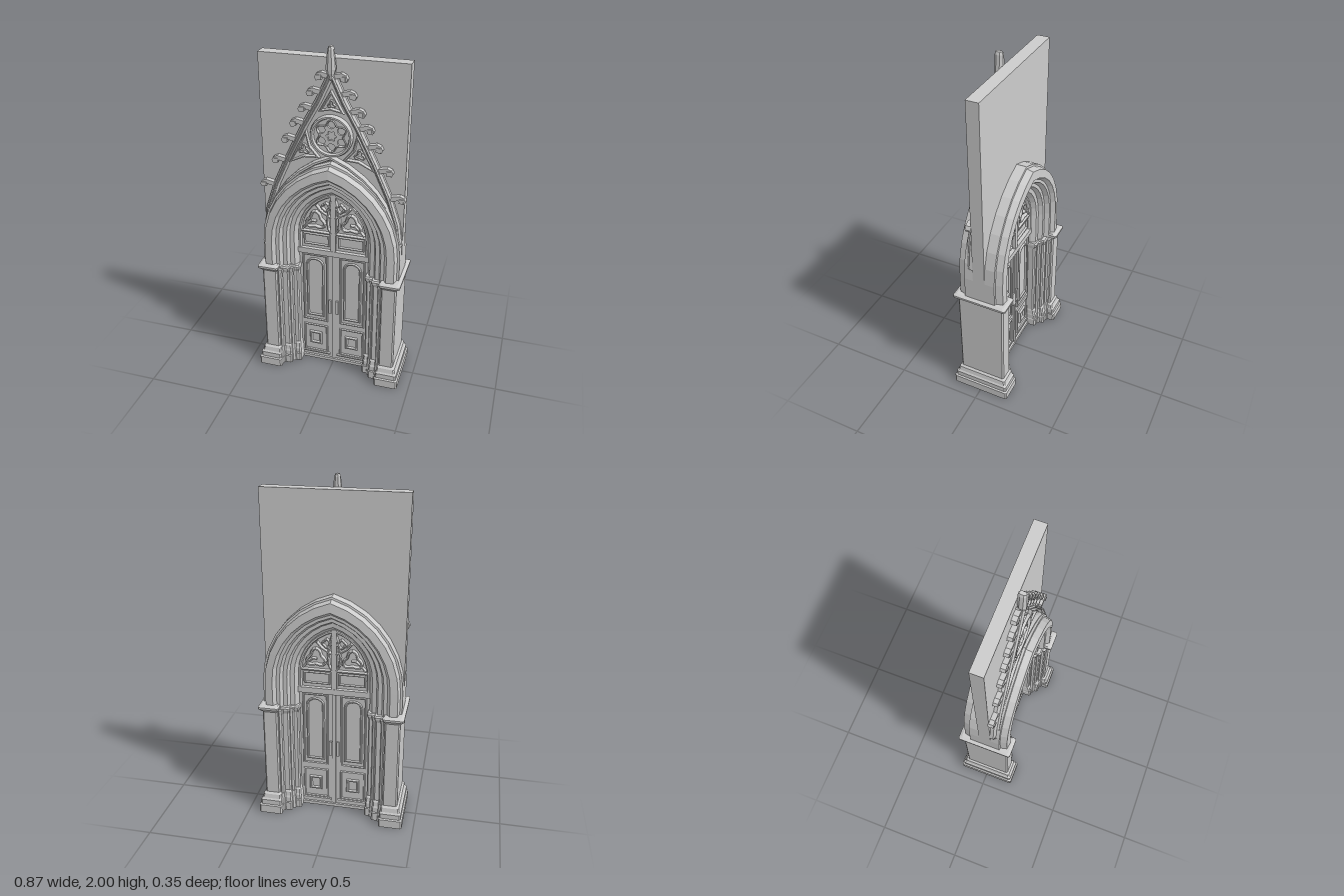
import * as THREE from 'three';

const mat = new THREE.MeshStandardMaterial({ color: 0xcccccc, flatShading: true, side: THREE.DoubleSide });

function add(parent, geo, name) {
  const m = new THREE.Mesh(geo, mat);
  m.name = name;
  parent.add(m);
  return m;
}

function box(parent, name, x0, x1, y0, y1, z0, z1) {
  const g = new THREE.BoxGeometry(x1 - x0, y1 - y0, z1 - z0);
  return add(parent, g.translate((x0 + x1) / 2, (y0 + y1) / 2, (z0 + z1) / 2), name);
}

// Skin a list of equal-length rings of [x, y, z]; end caps unless the loop closes
function loft(rings, closed = false) {
  const pos = [], m = rings[0].length, n = rings.length;
  for (let i = 0; i < (closed ? n : n - 1); i++) {
    const a = rings[i], b = rings[(i + 1) % n];
    for (let k = 0; k < m; k++) {
      const l = (k + 1) % m;
      pos.push(...a[k], ...b[k], ...b[l], ...a[k], ...b[l], ...a[l]);
    }
  }
  if (!closed) [rings[0], rings[n - 1]].forEach((r, e) => {
    const c = [0, 1, 2].map(d => r.reduce((s, p) => s + p[d], 0) / m);
    r.forEach((p, k) => {
      const q = r[(k + 1) % m];
      pos.push(...c, ...(e ? q : p), ...(e ? p : q));
      if (e) { const t = pos.splice(-6); pos.push(...t.slice(3), ...t.slice(0, 3)); }
      const t = pos.splice(-6); pos.push(...(e ? t : [...t.slice(0, 3), ...t.slice(3)]));
    });
  });
  // turn the surface outward if its signed volume is negative
  let vol = 0;
  const A = new THREE.Vector3(), B = new THREE.Vector3(), C = new THREE.Vector3();
  for (let i = 0; i < pos.length; i += 9) {
    vol += A.fromArray(pos, i).dot(B.fromArray(pos, i + 3).cross(C.fromArray(pos, i + 6)));
  }
  if (vol < 0) for (let i = 0; i < pos.length; i += 9) {
    const t = pos.slice(i, i + 3);
    for (let d = 0; d < 3; d++) { pos[i + d] = pos[i + 3 + d]; pos[i + 3 + d] = t[d]; }
  }
  const g = new THREE.BufferGeometry();
  g.setAttribute('position', new THREE.Float32BufferAttribute(pos, 3));
  g.computeVertexNormals();
  return g;
}

// Moulded rib of width w following a flat path, from depth z0 to z1
function rib(parent, name, pts, w, z0, z1, closed = false) {
  const n = pts.length;
  const rings = pts.map((p, i) => {
    const a = closed ? pts[(i + n - 1) % n] : pts[Math.max(i - 1, 0)];
    const b = closed ? pts[(i + 1) % n] : pts[Math.min(i + 1, n - 1)];
    const u = new THREE.Vector2(p[0] - a[0], p[1] - a[1]).normalize();
    const v = new THREE.Vector2(b[0] - p[0], b[1] - p[1]).normalize();
    const t = u.clone().add(v).normalize();
    const k = w / 2 / Math.max(0.5, t.dot(u.length() ? u : v));
    const zm = z0 + (z1 - z0) * 0.6;
    return [[1, z0], [1, zm], [0.45, z1], [-0.45, z1], [-1, zm], [-1, z0]]
      .map(([s, z]) => [p[0] - t.y * s * k, p[1] + t.x * s * k, z]);
  });
  return add(parent, loft(rings, closed), name);
}

// Pointed arch running from the right foot over the apex to the left foot
function arch(w, apex, y0, n = 7) {
  const spring = 0.9 - (w - 0.2) * 0.25, h = apex - spring;
  const c = (h * h - w * w) / (2 * w), R = w + c, end = Math.atan2(h, c);
  const half = [[w, y0]];
  for (let i = 0; i <= n; i++) {
    const a = end * i / n;
    half.push([i === n ? 0 : R * Math.cos(a) - c, spring + R * Math.sin(a)]);
  }
  return [...half, ...half.slice(0, -1).reverse().map(([x, y]) => [-x, y])];
}

const foil = (x, y, r, amp, lobes, n = 24, turn = 0) => Array.from({ length: n }, (_, i) => {
  const a = i / n * Math.PI * 2, k = r + amp * Math.cos(lobes * (a - turn));
  return [x + k * Math.cos(a), y + k * Math.sin(a)];
});
const rect = (x0, x1, y0, y1) => [[x0, y0], [x1, y0], [x1, y1], [x0, y1]];
const mirror = (pts, s) => pts.map(([x, y]) => [x * s, y]);

function plate(parent, name, pts, z0, z1, holes = []) {
  const v = p => p.map(([x, y]) => new THREE.Vector2(x, y));
  const s = new THREE.Shape(v(pts));
  holes.forEach(h => s.holes.push(new THREE.Path(v(h))));
  const g = new THREE.ExtrudeGeometry(s, { depth: z1 - z0, bevelEnabled: false });
  return add(parent, g.translate(0, 0, z0), name);
}

// Stack of chamfered blocks: tiers of [y, grow] around a footprint x0..x1, +-z
function stack(parent, name, s, x0, x1, z, tiers) {
  const rings = tiers.map(([y, g]) => {
    const a = x0 - g * 0.5, b = x1 + g, d = z + g, c = 0.008;
    return [[a + c, d], [b - c, d], [b, d - c], [b, c - d], [b - c, -d], [a + c, -d], [a, c - d], [a, d - c]]
      .map(([x, q]) => [x * s, y, q]);
  });
  return add(parent, loft(rings), name);
}

export function createModel() {
  const model = new THREE.Group();
  model.name = 'gothicPortal';

  // Wall slab with the arched opening
  plate(model, 'wall', [[-0.4, 0.7], [-0.4, 1.935], [0.4, 1.935], [0.4, 0.7], ...arch(0.34, 1.31, 0.7)], -0.032, 0.038);

  // Moulded archivolt: section of [half width, apex, depth], mirrored front to back
  const front = [[0.4, 1.38, 0.09], [0.387, 1.368, 0.092], [0.378, 1.358, 0.13], [0.335, 1.305, 0.135],
    [0.318, 1.287, 0.112], [0.298, 1.27, 0.112], [0.285, 1.255, 0.085], [0.262, 1.235, 0.085],
    [0.25, 1.222, 0.06], [0.225, 1.195, 0.058], [0.208, 1.172, 0.03]];
  const section = [...front, ...front.slice().reverse().map(([w, a, z]) => [w, a, -z])];
  const curves = section.map(([w, a]) => arch(w, a, 0.69));
  add(model, loft(curves[0].map((_, j) => section.map((s, k) => [...curves[k][j], s[2]]))), 'archivolt');

  // Stepped jambs with bases, caps and shafts
  const base = [[0, 0.035], [0.05, 0.035], [0.055, 0.026], [0.085, 0.026], [0.095, 0.018], [0.12, 0.012], [0.13, 0]];
  for (const s of [1, -1]) {
    const jamb = new THREE.Group();
    jamb.name = s > 0 ? 'leftJamb' : 'rightJamb';
    model.add(jamb);
    [[0.31, 0.398, 0.138, 0.71], [0.252, 0.32, 0.098, 0.69], [0.205, 0.26, 0.06, 0.685]].forEach(([x0, x1, z, top], i) => {
      const k = i ? 0.6 : 1;
      stack(jamb, 'pier', s, x0, x1, z, [[0.1, 0], [top - 0.02, 0]]);
      stack(jamb, 'pierBase', s, x0, x1, z, base.map(([y, g]) => [y, g * k]));
      stack(jamb, 'pierCap', s, x0, x1, z,
        [[top - 0.035, 0], [top - 0.025, 0.01 * k], [top - 0.012, 0.022 * k], [top, 0.022 * k], [top + 0.008, 0.006]]);
    });
    for (const f of [1, -1]) for (const [x, z] of [[0.303, 0.106], [0.248, 0.068]]) {
      add(jamb, new THREE.CylinderGeometry(0.017, 0.017, 0.58, 8).translate(x * s, 0.38, z * f), 'shaft');
      add(jamb, new THREE.CylinderGeometry(0.026, 0.018, 0.035, 8).translate(x * s, 0.668, z * f), 'shaftCap');
      add(jamb, new THREE.CylinderGeometry(0.02, 0.03, 0.12, 8).translate(x * s, 0.06, z * f), 'shaftBase');
    }
  }

  // Door leaves and tympanum core
  for (const s of [1, -1]) plate(model, 'doorLeaf', mirror(rect(0.003, 0.22, 0.01, 0.775), s), -0.018, 0.018);
  box(model, 'threshold', -0.22, 0.22, 0, 0.02, -0.03, 0.03);
  plate(model, 'tympanum', arch(0.225, 1.19, 0.76), -0.014, 0.014);

  // Relief shown on both faces of the door
  for (const f of [0, 1]) {
    const face = new THREE.Group();
    face.name = f ? 'backDoorFace' : 'frontDoorFace';
    face.rotation.y = Math.PI * f;
    model.add(face);
    box(face, 'transom', -0.21, 0.21, 0.77, 0.805, 0, 0.036);
    box(face, 'mullion', -0.014, 0.014, 0.8, 1.17, 0, 0.034);
    box(face, 'meetingStile', -0.009, 0.009, 0.02, 0.77, 0, 0.026);
    rib(face, 'tympanumBorder', arch(0.2, 1.162, 0.8), 0.02, 0.01, 0.034);
    for (const s of [1, -1]) {
      const r = (name, pts, w, z, c) => rib(face, name, mirror(pts, s), w, 0.01, z, c);
      const top = (x0, x1, y, h) => Array.from({ length: 9 }, (_, i) => {
        const a = Math.PI * i / 8;
        return [(x0 + x1) / 2 + (x1 - x0) / 2 * Math.cos(a), y + h * Math.sin(a)];
      });
      r('panelFrame', rect(0.042, 0.184, 0.295, 0.755), 0.012, 0.026, true);
      r('archedPanel', [[0.065, 0.33], [0.16, 0.33], ...top(0.065, 0.16, 0.69, 0.04)], 0.014, 0.028, true);
      r('lowerPanelFrame', rect(0.042, 0.184, 0.06, 0.25), 0.012, 0.026, true);
      r('lowerPanelSquare', rect(0.082, 0.144, 0.12, 0.195), 0.016, 0.03, true);
      r('kickRail', [[0.02, 0.045], [0.2, 0.045]], 0.016, 0.026);
      r('tympanumPanel', rect(0.03, 0.175, 0.83, 0.895), 0.01, 0.026, true);
      r('tympanumRail', [[0.01, 0.915], [0.2, 0.915]], 0.014, 0.032);
      // Tracery: trefoil, eyelet and sweeping bars
      r('trefoil', foil(0.105, 0.988, 0.047, 0.012, 3, 24, Math.PI / 2), 0.015, 0.036, true);
      r('eyelet', foil(0.043, 1.082, 0.022, 0.004, 4, 16), 0.011, 0.034, true);
      r('sweepingBar', [[0.012, 1.02], [0.04, 1.035], [0.075, 1.058], [0.1, 1.09]], 0.014, 0.036);
      r('sweepingBar', [[0.012, 1.13], [0.03, 1.06], [0.035, 1.0], [0.03, 0.95], [0.012, 0.92]], 0.013, 0.036);
      r('cusp', [[0.18, 0.93], [0.15, 0.965], [0.125, 0.985], [0.1, 0.985]], 0.013, 0.034);
      // Handle with its plate
      box(face, 'handlePlate', s * 0.022 - 0.008, s * 0.022 + 0.008, 0.36, 0.455, 0.016, 0.028);
      const grip = add(face, new THREE.TorusGeometry(0.03, 0.006, 5, 8, Math.PI), 'handle');
      grip.rotation.set(0, -Math.PI / 2, Math.PI / 2, 'YXZ');
      grip.position.set(s * 0.022, 0.405, 0.026);
    }
  }

  // Gable: backing plate, raking bars and hood mould
  const slope = [[0, 1.87], [0.085, 1.72], [0.16, 1.585], [0.25, 1.4], [0.33, 1.22], [0.382, 1.06], [0.4, 0.93]];
  const gable = new THREE.Group();
  gable.name = 'gable';
  model.add(gable);
  plate(gable, 'gablePanel', [...slope.slice().reverse(), ...mirror(slope.slice(1), -1), ...arch(0.36, 1.34, 0.93).reverse()], 0.036, 0.05);
  rib(gable, 'hoodMould', arch(0.385, 1.405, 0.94), 0.024, 0.04, 0.078);
  for (const s of [1, -1]) {
    const bar = slope.map(([x, y]) => [s * Math.max(0, x - 0.016), y - 0.008]);
    rib(gable, 'rakingBar', bar, 0.036, 0.036, 0.07);
    rib(gable, 'rakingBead', bar, 0.013, 0.06, 0.082);
    const tri = [[0.14, 1.535], [0.185, 1.445], [0.232, 1.355], [0.15, 1.395], [0.075, 1.4], [0.122, 1.455]];
    rib(gable, 'spandrelFrame', mirror(tri, s), 0.014, 0.04, 0.07, true);
    rib(gable, 'spandrelTrefoil', foil(s * 0.153, 1.432, 0.021, 0.009, 3, 18, Math.PI / 2), 0.009, 0.04, 0.064, true);
    // Leaf crockets climbing the gable
    const leaf = [[-0.045, -0.012], [-0.005, -0.002], [0.01, -0.02], [0.028, -0.022], [0.036, -0.006], [0.026, 0.014], [0.002, 0.024], [-0.045, 0.014]];
    for (const [x, y] of [[0.052, 1.842], [0.098, 1.755], [0.145, 1.665], [0.193, 1.58], [0.242, 1.483], [0.302, 1.357], [0.375, 1.205]]) {
      plate(gable, 'crocket', leaf.map(([a, b]) => [s * (x + a), y + b]), 0.034, 0.066);
      box(gable, 'crocketCurl', s * (x + 0.012) - 0.012, s * (x + 0.012) + 0.012, y - 0.016, y + 0.008, 0.034, 0.072);
    }
  }
  rib(gable, 'topFrame', [[0, 1.765], [-0.06, 1.66], [0, 1.672], [0.06, 1.66]], 0.013, 0.04, 0.07, true);
  rib(gable, 'topTrefoil', foil(0, 1.697, 0.015, 0.006, 3, 18, Math.PI / 2), 0.008, 0.04, 0.064, true);

  // Rose window: rings, pierced disc and six-lobed foil
  const Y = 1.525, holes = [];
  for (let i = 0; i < 6; i++) {
    const a = (i + 0.5) * Math.PI / 3;
    holes.push(foil(0.064 * Math.cos(a), Y + 0.064 * Math.sin(a), 0.022, 0, 1, 12));
  }
  rib(gable, 'roseRing', foil(0, Y, 0.106, 0, 1, 28), 0.02, 0.04, 0.078, true);
  plate(gable, 'roseTracery', foil(0, Y, 0.102, 0, 1, 28), 0.045, 0.062, [...holes, foil(0, Y, 0.025, 0.006, 6, 24)]);
  rib(gable, 'roseFoil', foil(0, Y, 0.077, 0.013, 6, 36, Math.PI / 6), 0.008, 0.05, 0.07, true);

  // Finial
  const fin = [[1.83, 0.01, 0.012], [1.865, 0.02, 0.022], [1.885, 0.026, 0.023], [1.93, 0.022, 0.023], [1.985, 0.016, 0.022], [2, 0.01, 0.018]];
  add(gable, loft(fin.map(([y, rx, rz]) => Array.from({ length: 8 }, (_, i) => {
    const a = (i + 0.5) * Math.PI / 4;
    return [rx * 1.08 * Math.cos(a), y, 0.063 + rz * 1.08 * Math.sin(a)];
  }))), 'finial');

  return model;
}
